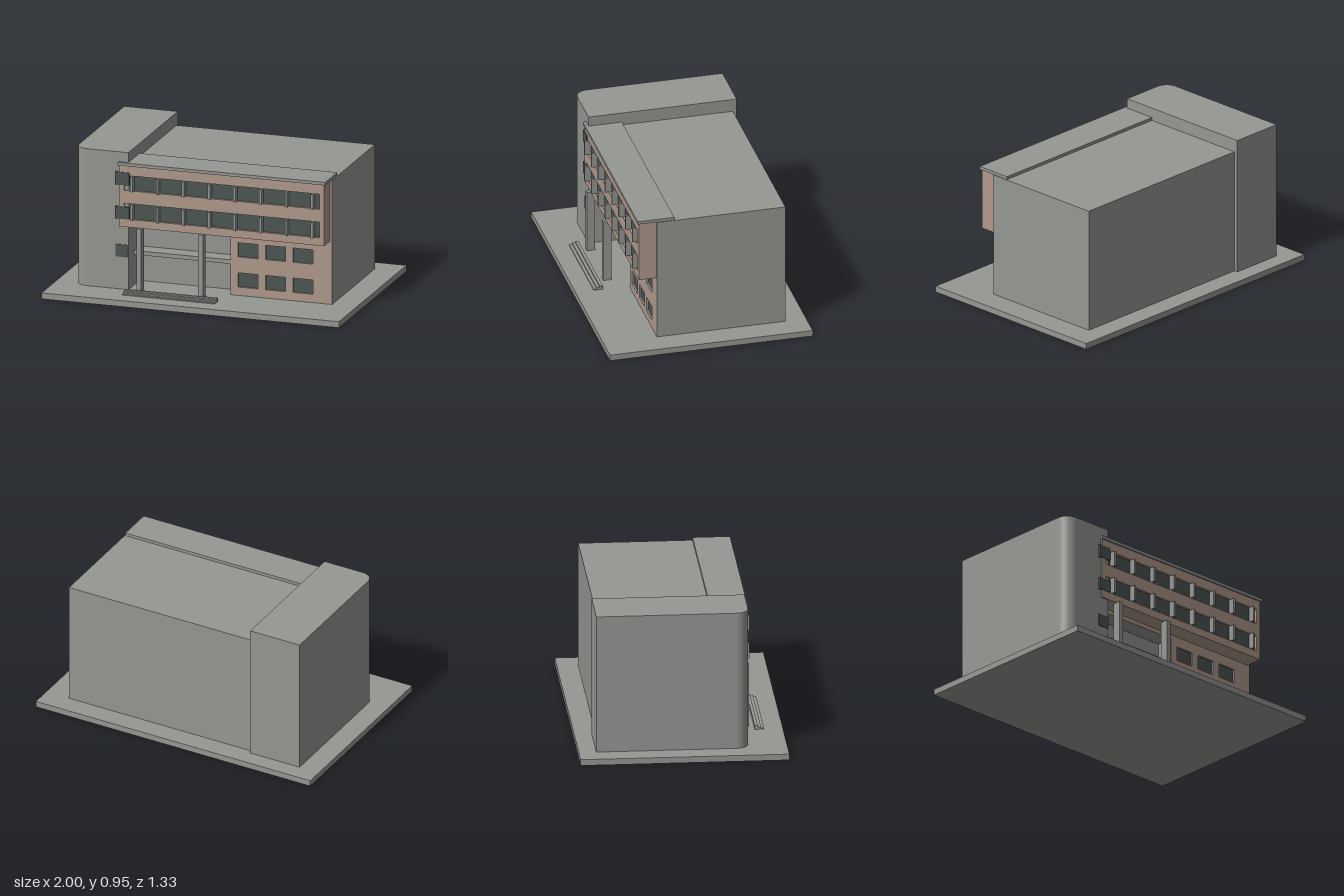
import * as THREE from 'three';

export function createModel() {
  const model = new THREE.Group();
  model.name = 'building';
  const mat = (name, color) => {
    const m = new THREE.MeshStandardMaterial({ color });
    m.name = name;
    return m;
  };
  const concrete = mat('concrete grey', 0x959792);
  const brick = mat('brick', 0xb0998c);
  const glass = mat('dark glass', 0x4c5652);

  const add = (name, geo, material) => {
    const mesh = new THREE.Mesh(geo, material);
    mesh.name = name;
    model.add(mesh);
    return mesh;
  };
  // box given by its limits on each axis
  const box = (name, material, x0, x1, y0, y1, z0, z1) =>
    add(name, new THREE.BoxGeometry(x1 - x0, y1 - y0, z1 - z0), material)
      .position.set((x0 + x1) / 2, (y0 + y1) / 2, (z0 + z1) / 2);
  // upright wall with rectangular openings [x0, x1, y0, y1]
  const wall = (name, materials, outline, openings, z0, z1) => {
    const shape = new THREE.Shape(outline.map(p => new THREE.Vector2(...p)));
    for (const [a, b, c, d] of openings) {
      shape.holes.push(new THREE.Path([[a, c], [a, d], [b, d], [b, c]].map(p => new THREE.Vector2(...p))));
    }
    const geo = new THREE.ExtrudeGeometry(shape, { depth: z1 - z0, bevelEnabled: false });
    add(name, geo, materials).position.z = z0;
  };

  // ground slab
  box('groundSlab', concrete, -1, 1, 0, 0.04, -0.667, 0.667);

  // main block, with the entrance recess left open at the front
  box('mainBlock', concrete, -0.5, 0.835, 0.04, 0.865, -0.53, 0.2);
  box('blockAboveEntrance', concrete, -0.5, 0.835, 0.43, 0.865, 0.2, 0.3);
  box('blockBesideEntrance', concrete, 0.15, 0.835, 0.04, 0.43, 0.2, 0.3);

  // brick front wall with six lower windows
  const lowerWindows = [];
  for (const x of [0.2, 0.385, 0.57]) {
    for (const y of [0.095, 0.295]) lowerWindows.push([x, x + 0.135, y, y + 0.095]);
  }
  wall('brickFrontWall', [brick, concrete],
    [[0.15, 0.04], [0.835, 0.04], [0.835, 0.865], [-0.5, 0.865], [-0.5, 0.43], [0.15, 0.43]],
    lowerWindows, 0.3, 0.315);
  for (const [a, b, c, d] of lowerWindows) box('lowerWindow', glass, a, b, c, d, 0.298, 0.303);

  // overhanging upper floors with two window bands
  const bands = [[-0.525, 0.79, 0.51, 0.615], [-0.525, 0.79, 0.7, 0.8]];
  box('overhangBody', brick, -0.56, 0.82, 0.458, 0.865, 0.315, 0.412);
  wall('overhangFront', brick,
    [[-0.56, 0.458], [0.82, 0.458], [0.82, 0.865], [-0.56, 0.865]], bands, 0.412, 0.43);
  for (const [a, b, c, d] of bands) {
    box('windowBand', glass, a, b, c, d, 0.41, 0.415);
    for (let i = 0; i < 8; i++) {
      const x = -0.469 + i * 0.1735;
      box('mullion', concrete, x - 0.008, x + 0.008, c, d, 0.412, 0.455);
    }
  }
  box('roofEdgeSlab', concrete, -0.565, 0.83, 0.865, 0.885, 0.2, 0.44);

  // stair tower with one rounded front corner; plan drawn as (x, -z)
  const plan = new THREE.Shape();
  plan.moveTo(-0.86, 0.555);
  plan.lineTo(-0.86, -0.34);
  plan.absarc(-0.78, -0.34, 0.08, Math.PI, Math.PI * 1.5, false);
  plan.lineTo(-0.5, -0.42);
  plan.lineTo(-0.5, 0.555);
  const towerGeo = new THREE.ExtrudeGeometry(plan, { depth: 0.91, bevelEnabled: false, curveSegments: 12 });
  towerGeo.rotateX(-Math.PI / 2);
  add('stairTower', towerGeo, concrete).position.y = 0.04;
  box('towerWindow', glass, -0.585, -0.49, 0.735, 0.82, 0.4, 0.434);
  box('towerWindow', glass, -0.585, -0.49, 0.51, 0.59, 0.4, 0.434);
  box('towerWindow', glass, -0.585, -0.501, 0.255, 0.337, 0.4, 0.425);

  // entrance: columns, cross beam and steps
  for (const x of [-0.418, -0.003]) box('entranceColumn', concrete, x - 0.016, x + 0.016, 0.04, 0.46, 0.402, 0.455);
  box('entranceBeam', concrete, -0.5, 0.15, 0.243, 0.27, 0.2, 0.312);
  for (let i = 0; i < 3; i++) {
    box('entranceStep', concrete, -0.5, 0.125, 0.04, 0.065 - i * 0.009, 0.487 + i * 0.02, 0.507 + i * 0.02);
  }

  return model;
}
